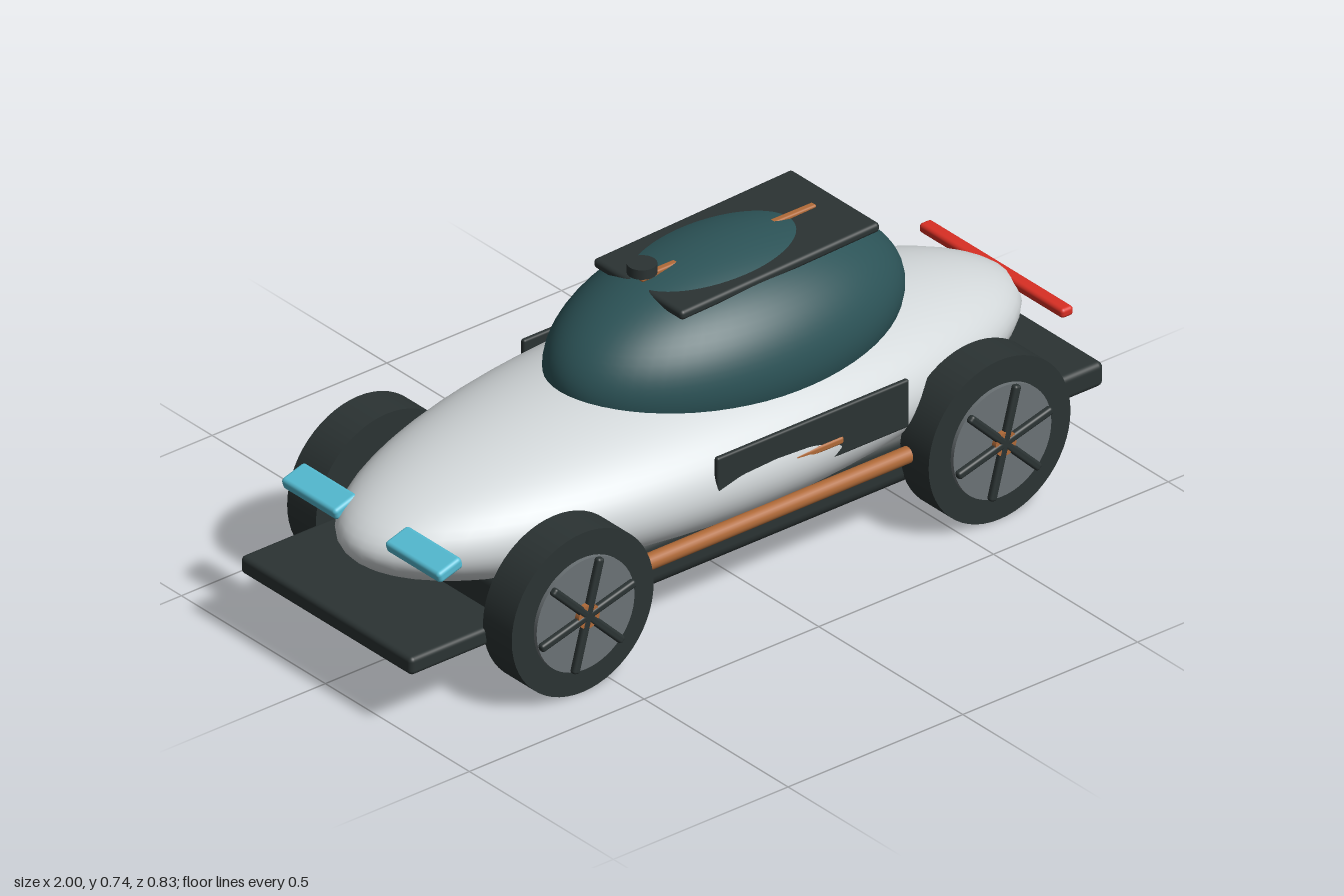
import * as THREE from 'three';
import { RoundedBoxGeometry } from 'three/addons/geometries/RoundedBoxGeometry.js';

const paint = (name, color) => {
  const m = new THREE.MeshStandardMaterial({ color });
  m.name = name;
  return m;
};

export function createModel() {
  const silver = paint('silver', 0xd3d8da);
  const glass = paint('tealGlass', 0x2c5357);
  const dark = paint('charcoal', 0x2b3333);
  const copper = paint('copper', 0xb06a38);
  const cyan = paint('cyanLamp', 0x55bdd4);
  const red = paint('redLamp', 0xd92f24);
  const steel = paint('steel', 0x6b7275);

  const car = new THREE.Group();
  car.name = 'car';

  const add = (parent, name, geometry, material, x, y, z) => {
    const mesh = new THREE.Mesh(geometry, material);
    mesh.name = name;
    mesh.position.set(x, y, z);
    parent.add(mesh);
    return mesh;
  };
  const box = (w, h, d, r) => new RoundedBoxGeometry(w, h, d, 4, r);
  const ellipsoid = (rx, ry, rz) => new THREE.SphereGeometry(1, 64, 40).scale(rx, ry, rz);

  // Body shell and canopy
  add(car, 'body', ellipsoid(0.94, 0.195, 0.35), silver, 0.01, 0.317, 0);
  add(car, 'canopy', ellipsoid(0.47, 0.22, 0.27), glass, 0.14, 0.5, 0);

  // Chassis with front and rear plates
  add(car, 'chassis', box(1.5, 0.135, 0.585, 0.035), dark, 0.07, 0.178, 0);
  add(car, 'frontSplitter', box(0.28, 0.045, 0.595, 0.012), dark, -0.86, 0.172, 0);
  add(car, 'rearDiffuser', box(0.24, 0.062, 0.56, 0.015), dark, 0.88, 0.177, 0);

  // Roof panel, spine and sensor
  const roof = add(car, 'roofPanel', box(0.57, 0.024, 0.31, 0.01), dark, 0.177, 0.685, 0);
  roof.rotation.z = 0.035;
  add(car, 'roofSpine', box(0.5, 0.016, 0.018, 0.005), copper, 0.15, 0.702, 0);
  add(car, 'roofSensor', new THREE.CylinderGeometry(0.034, 0.034, 0.024, 32), dark, -0.094, 0.728, 0);

  // Rear light bar
  add(car, 'tailLight', box(0.035, 0.024, 0.5, 0.009), red, 0.92, 0.349, 0);

  // Parts repeated on both sides
  for (const s of [1, -1]) {
    const lamp = add(car, 'headlight', box(0.072, 0.03, 0.19, 0.01), cyan, -0.866, 0.361, s * 0.18);
    lamp.rotation.z = 0.3;
    add(car, 'sidePanel', box(0.55, 0.122, 0.014, 0.006), dark, 0.115, 0.356, s * 0.336);
    add(car, 'doorHandle', box(0.14, 0.018, 0.018, 0.006), copper, 0.13, 0.334, s * 0.338);
    const sill = add(car, 'sideSill', new THREE.CylinderGeometry(0.02, 0.02, 0.96, 24), copper, 0.01, 0.207, s * 0.316);
    sill.rotation.z = Math.PI / 2;
  }

  // Wheels, built with the outer face toward +z
  const disc = (r, depth) => new THREE.CylinderGeometry(r, r, depth, 56).rotateX(Math.PI / 2);
  for (const x of [-0.585, 0.608]) {
    for (const s of [1, -1]) {
      const wheel = new THREE.Group();
      wheel.name = 'wheel';
      wheel.position.set(x, 0.203, s * 0.34);
      wheel.rotation.y = s > 0 ? 0 : Math.PI;
      car.add(wheel);
      add(wheel, 'tire', disc(0.203, 0.1), dark, 0, 0, 0);
      add(wheel, 'rim', disc(0.14, 0.04), steel, 0, 0, 0.04);
      add(wheel, 'hub', disc(0.03, 0.03), copper, 0, 0, 0.058);
      // Three full bars make six spokes
      for (let i = 0; i < 3; i++) {
        const bar = add(wheel, 'spokes', box(0.28, 0.02, 0.018, 0.007), dark, 0, 0, 0.066);
        bar.rotation.z = Math.PI / 12 + (i * Math.PI) / 3;
      }
    }
  }
  return car;
}
